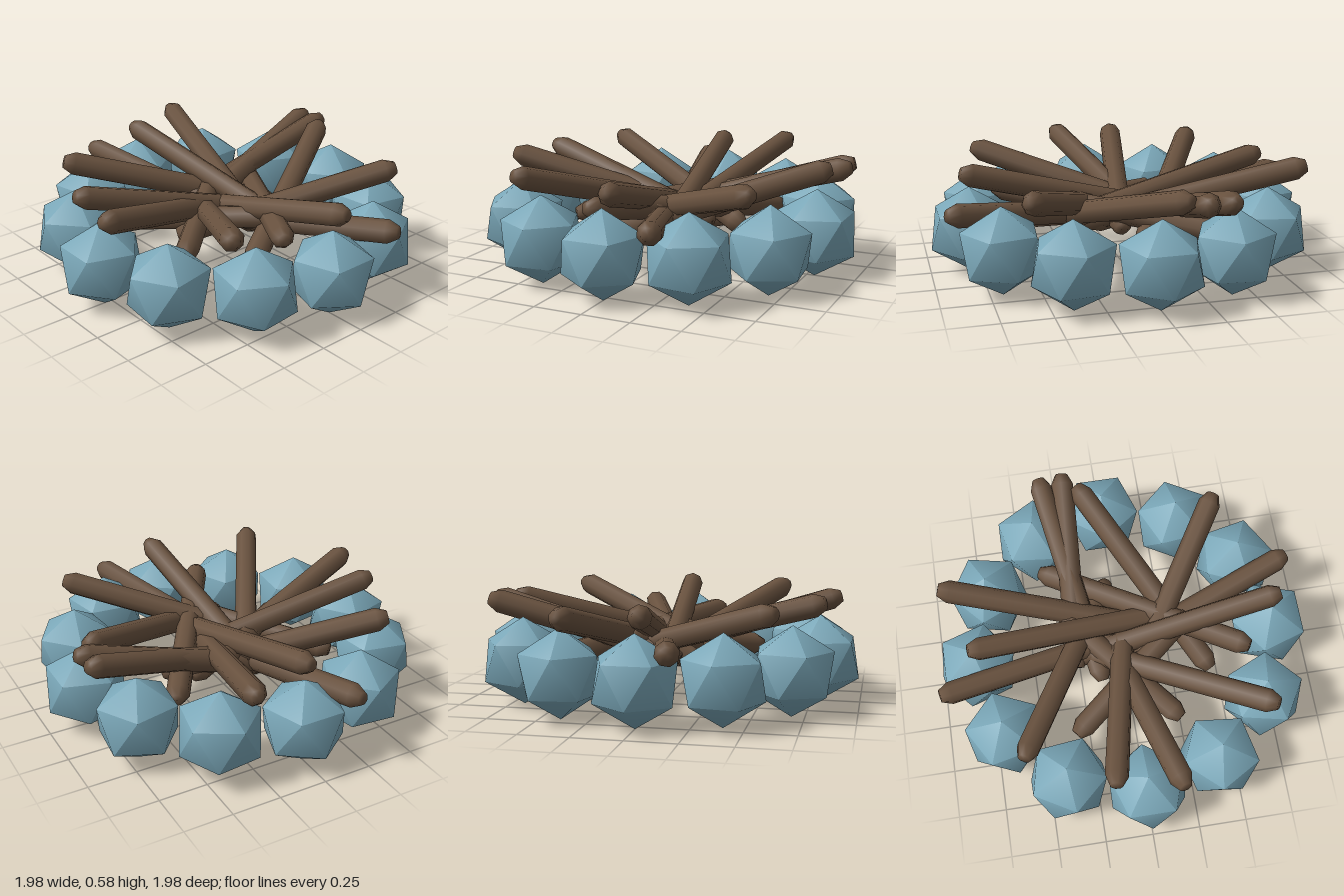
import * as THREE from 'three';

const STONES = 12, STONE_R = 0.225, RING_R = 0.79, LOG_R = 0.06;

// Icosahedron standing on a corner, its facets slightly softened
function stoneGeometry() {
  const g = new THREE.IcosahedronGeometry(STONE_R, 0);
  g.rotateZ(Math.atan(2 / (1 + Math.sqrt(5))));
  const p = g.attributes.position, n = g.attributes.normal;
  const round = new THREE.Vector3(), flat = new THREE.Vector3();
  for (let i = 0; i < p.count; i++) {
    round.fromBufferAttribute(p, i).normalize();
    flat.fromBufferAttribute(n, i).lerp(round, 0.4).normalize();
    n.setXYZ(i, flat.x, flat.y, flat.z);
  }
  return g;
}

// Eight-sided log with chamfered ends, running between two points
function log(from, to, material) {
  const a = new THREE.Vector3(...from), b = new THREE.Vector3(...to);
  const dir = b.clone().sub(a).normalize(), h = a.distanceTo(b) / 2 + 0.025;
  const profile = [[0, -h], [0.033, -h], [LOG_R, -h + 0.055], [LOG_R, h - 0.055], [0.033, h], [0, h]]
    .map(([x, y]) => new THREE.Vector2(x, y));
  const mesh = new THREE.Mesh(new THREE.LatheGeometry(profile, 8), material);
  mesh.position.copy(a).add(b).multiplyScalar(0.5);
  mesh.quaternion.setFromUnitVectors(new THREE.Vector3(0, 1, 0), dir);
  mesh.name = 'log';
  return mesh;
}

export function createModel() {
  const model = new THREE.Group();
  model.name = 'campfire';
  const stoneMat = new THREE.MeshStandardMaterial({ color: 0x7ba8b9 });
  const woodMat = new THREE.MeshStandardMaterial({ color: 0x69523f });

  // Ring of stones
  const ring = new THREE.Group();
  ring.name = 'stoneRing';
  const stoneGeo = stoneGeometry();
  for (let i = 0; i < STONES; i++) {
    const a = (i / STONES) * Math.PI * 2;
    const stone = new THREE.Mesh(stoneGeo, stoneMat);
    stone.position.set(RING_R * Math.cos(a), STONE_R, -RING_R * Math.sin(a));
    stone.rotation.y = a;
    stone.name = 'stone';
    ring.add(stone);
  }
  model.add(ring);

  // Logs: one end (x, y, z), then the other
  const pile = new THREE.Group();
  pile.name = 'logPile';
  const logs = [
    // leaning out over the stones
    [-0.90, 0.525, -0.33, 0.20, 0.24, -0.06],
    [-0.78, 0.525, 0.02, 0.28, 0.28, -0.12],
    [-0.58, 0.525, 0.60, -0.05, 0.21, -0.36],
    [-0.16, 0.525, 0.80, 0.04, 0.24, -0.22],
    [0.16, 0.525, 0.86, -0.14, 0.21, -0.24],
    [0.68, 0.525, 0.53, -0.27, 0.23, -0.02],
    [0.81, 0.525, -0.04, -0.27, 0.24, 0.04],
    [0.58, 0.525, -0.64, -0.02, 0.22, 0.28],
    [-0.12, 0.525, -0.80, 0.43, 0.21, 0.18],
    [-0.20, 0.525, -0.88, -0.26, 0.25, 0.08],
    [-0.32, 0.525, -0.87, -0.14, 0.22, 0.16],
    // lying flatter
    [-0.96, 0.39, 0.19, 0.16, 0.23, -0.07],
    [0.91, 0.39, -0.30, -0.17, 0.23, 0.09],
    [0.62, 0.39, 0.16, -0.37, 0.26, -0.46],
    // short ones underneath
    [-0.30, 0.25, 0.45, 0.33, 0.34, -0.06],
    [0.22, 0.25, 0.44, -0.29, 0.34, -0.16],
  ];
  for (const p of logs) pile.add(log(p.slice(0, 3), p.slice(3), woodMat));
  model.add(pile);
  return model;
}
